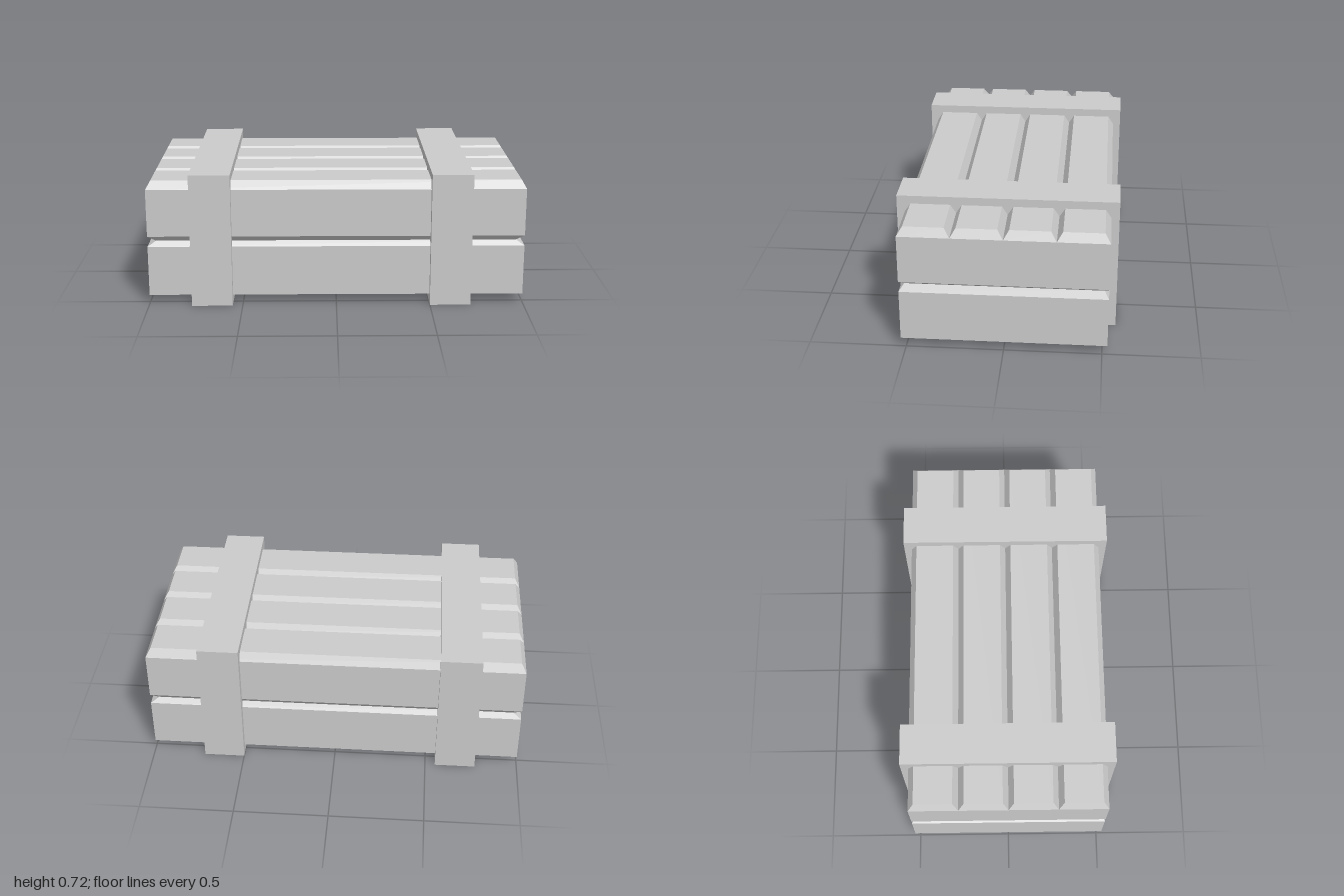
import * as THREE from 'three';

const material = new THREE.MeshStandardMaterial({ color: 0xcccccc, flatShading: true });

// Box whose top and bottom faces can differ in size (half sizes hx, hz)
function taperedBox(name, y0, y1, [hx0, hz0], [hx1, hz1], z = 0) {
  const geometry = new THREE.BoxGeometry(2, 1, 2);
  const p = geometry.attributes.position;
  for (let i = 0; i < p.count; i++) {
    const top = p.getY(i) > 0;
    p.setXYZ(i, p.getX(i) * (top ? hx1 : hx0), top ? y1 : y0, p.getZ(i) * (top ? hz1 : hz0) + z);
  }
  geometry.computeVertexNormals();
  const mesh = new THREE.Mesh(geometry, material);
  mesh.name = name;
  return mesh;
}

export function createModel() {
  const crate = new THREE.Group();
  crate.name = 'crate';

  const outer = [1, 0.527];
  const groove = [0.957, 0.504];

  // Lower and upper boards, bevelled towards the groove between them
  crate.add(
    taperedBox('lowerBoards', 0.048, 0.318, outer, outer),
    taperedBox('lowerBevel', 0.318, 0.345, outer, groove),
    taperedBox('upperBevel', 0.345, 0.374, groove, outer),
    taperedBox('upperBoards', 0.374, 0.629, outer, outer),
  );

  // Four bevelled lid planks
  const half = 0.527 / 4;
  for (let i = 0; i < 4; i++) {
    const z = -0.527 + half * (2 * i + 1);
    crate.add(taperedBox(`lidPlank${i + 1}`, 0.629, 0.674, [1, half], [0.974, half - 0.029], z));
  }

  // Two bands around the crate
  for (const [name, x] of [['rightBand', -0.662], ['leftBand', 0.608]]) {
    const band = new THREE.Mesh(new THREE.BoxGeometry(0.217, 0.717, 1.136), material);
    band.position.set(x, 0.3585, 0);
    band.name = name;
    crate.add(band);
  }
  return crate;
}
